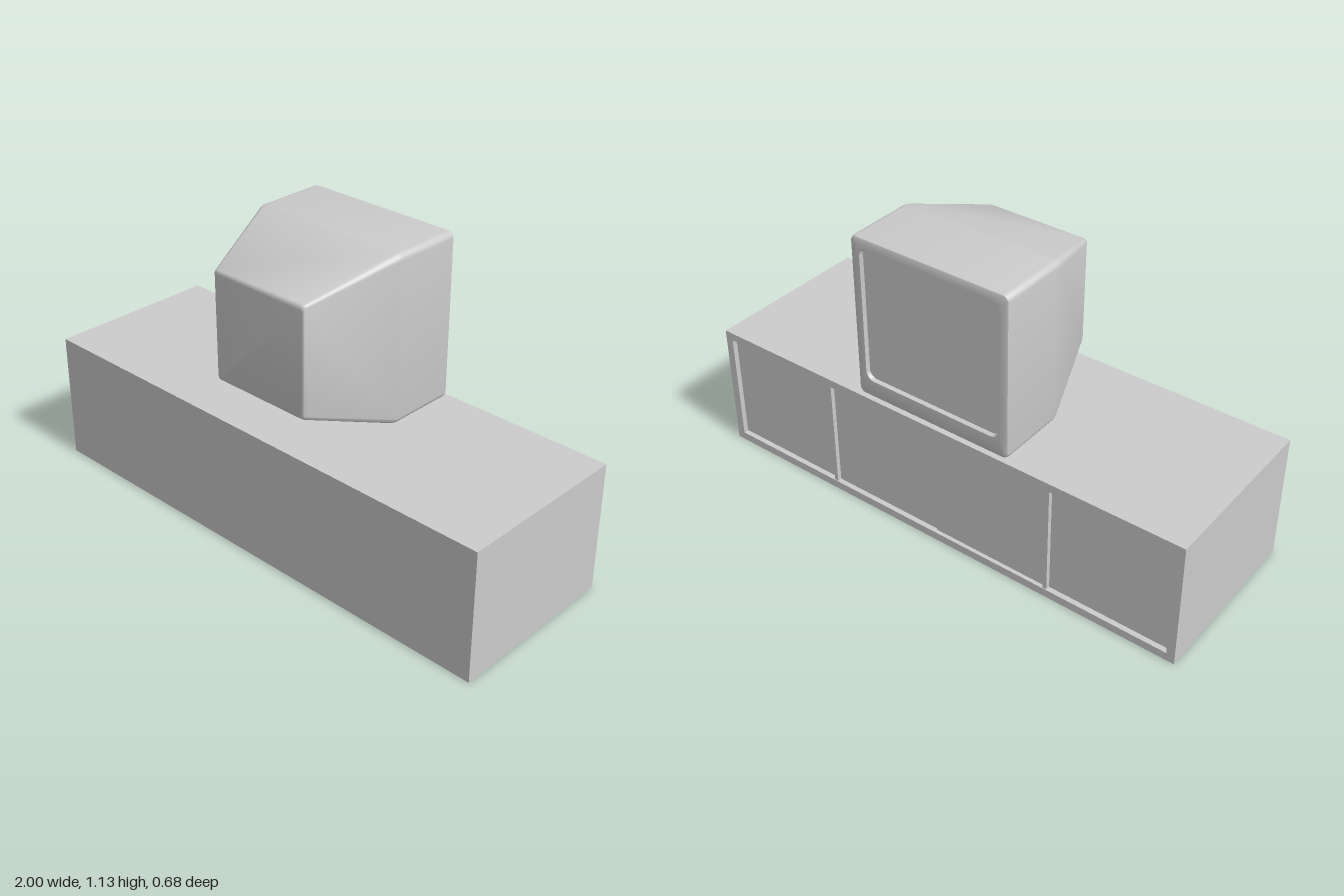
import * as THREE from 'three';
import { toCreasedNormals } from 'three/addons/utils/BufferGeometryUtils.js';

const material = new THREE.MeshStandardMaterial({ color: 0xcccccc });

function add(parent, name, geometry, x = 0, y = 0, z = 0) {
  const mesh = new THREE.Mesh(geometry, material);
  mesh.name = name;
  mesh.position.set(x, y, z);
  parent.add(mesh);
  return mesh;
}

// Rounded rectangle loop at depth z
function ring(z, x0, x1, y0, y1, r) {
  const points = [], steps = 5;
  const corners = [[x1 - r, y1 - r], [x0 + r, y1 - r], [x0 + r, y0 + r], [x1 - r, y0 + r]];
  corners.forEach(([cx, cy], k) => {
    for (let s = 0; s <= steps; s++) {
      const a = (k + s / steps) * Math.PI / 2;
      points.push([cx + r * Math.cos(a), cy + r * Math.sin(a), z]);
    }
  });
  return points;
}

// Skin joining successive loops, with both ends capped
function loft(rings) {
  const n = rings[0].length, positions = [], index = [];
  rings.forEach(loop => loop.forEach(p => positions.push(...p)));
  for (let i = 0; i < rings.length - 1; i++) {
    for (let j = 0; j < n; j++) {
      const k = (j + 1) % n;
      const a = i * n + j, b = i * n + k, c = b + n, d = a + n;
      index.push(a, b, c, a, c, d);
    }
  }
  const last = (rings.length - 1) * n;
  for (let j = 1; j < n - 1; j++) {
    index.push(0, j + 1, j, last, last + j, last + j + 1);
  }
  const geometry = new THREE.BufferGeometry();
  geometry.setAttribute('position', new THREE.Float32BufferAttribute(positions, 3));
  geometry.setIndex(index);
  return toCreasedNormals(geometry, 0.6);
}

function rectangle(target, x0, x1, y0, y1) {
  target.moveTo(x0, y0).lineTo(x1, y0).lineTo(x1, y1).lineTo(x0, y1).closePath();
  return target;
}

function createCabinet() {
  const cabinet = new THREE.Group();
  cabinet.name = 'cabinet';
  const back = -0.34, recess = 0.02, rim = 0.032;
  add(cabinet, 'cabinetBody', new THREE.BoxGeometry(2, 0.5, 0.68 - recess), 0, 0.25, recess / 2);

  // Raised rim round the doors
  const frame = rectangle(new THREE.Shape(), -1, 1, 0, 0.5);
  frame.holes.push(rectangle(new THREE.Path(), -1 + rim, 1 - rim, rim, 0.5 - rim));
  add(cabinet, 'doorFrame', new THREE.ExtrudeGeometry(frame, { depth: recess, bevelEnabled: false }), 0, 0, back);

  // Uprights between the side doors and the middle
  const height = 0.5 - 2 * rim;
  for (const side of [-1, 1]) {
    add(cabinet, 'divider', new THREE.BoxGeometry(0.016, height, 0.018), side * 0.48, 0.25, back + 0.012);
  }

  // One middle door slides just in front of the other
  add(cabinet, 'slidingDoor', new THREE.BoxGeometry(0.476, height, 0.006), -0.236, 0.25, back + recess - 0.002);
  return cabinet;
}

function createTelevision() {
  const television = new THREE.Group();
  television.name = 'television';
  const x0 = -0.31, x1 = 0.34, y0 = 0.5, y1 = 1.135;
  const inset = (z, d, r) => ring(z, x0 + d, x1 - d, y0 + d, y1 - d, r);
  const screen = (z, d, r) => ring(z, x0 + 0.038 + d, x1 - 0.038 - d, y0 + 0.07 + d, y1 - 0.036 - d, r);

  // Casing from the recessed screen, round the bezel, to the tapered rear
  const rings = [
    screen(-0.31, 0.004, 0.03),
    screen(-0.325, 0, 0.034),
    inset(-0.325, 0.012, 0.014),
    inset(-0.3214, 0.0035, 0.021),
    inset(-0.313, 0, 0.024),
    inset(-0.06, 0, 0.024),
    inset(-0.045, 0.002, 0.024),
    ring(0.27, -0.198, 0.228, 0.606, 1.029, 0.016),
    ring(0.278, -0.194, 0.224, 0.61, 1.025, 0.014),
    ring(0.282, -0.187, 0.217, 0.617, 1.018, 0.01),
  ];
  add(television, 'televisionCasing', loft(rings));
  return television;
}

export function createModel() {
  const model = new THREE.Group();
  model.name = 'televisionOnCabinet';
  model.add(createCabinet(), createTelevision());
  return model;
}
